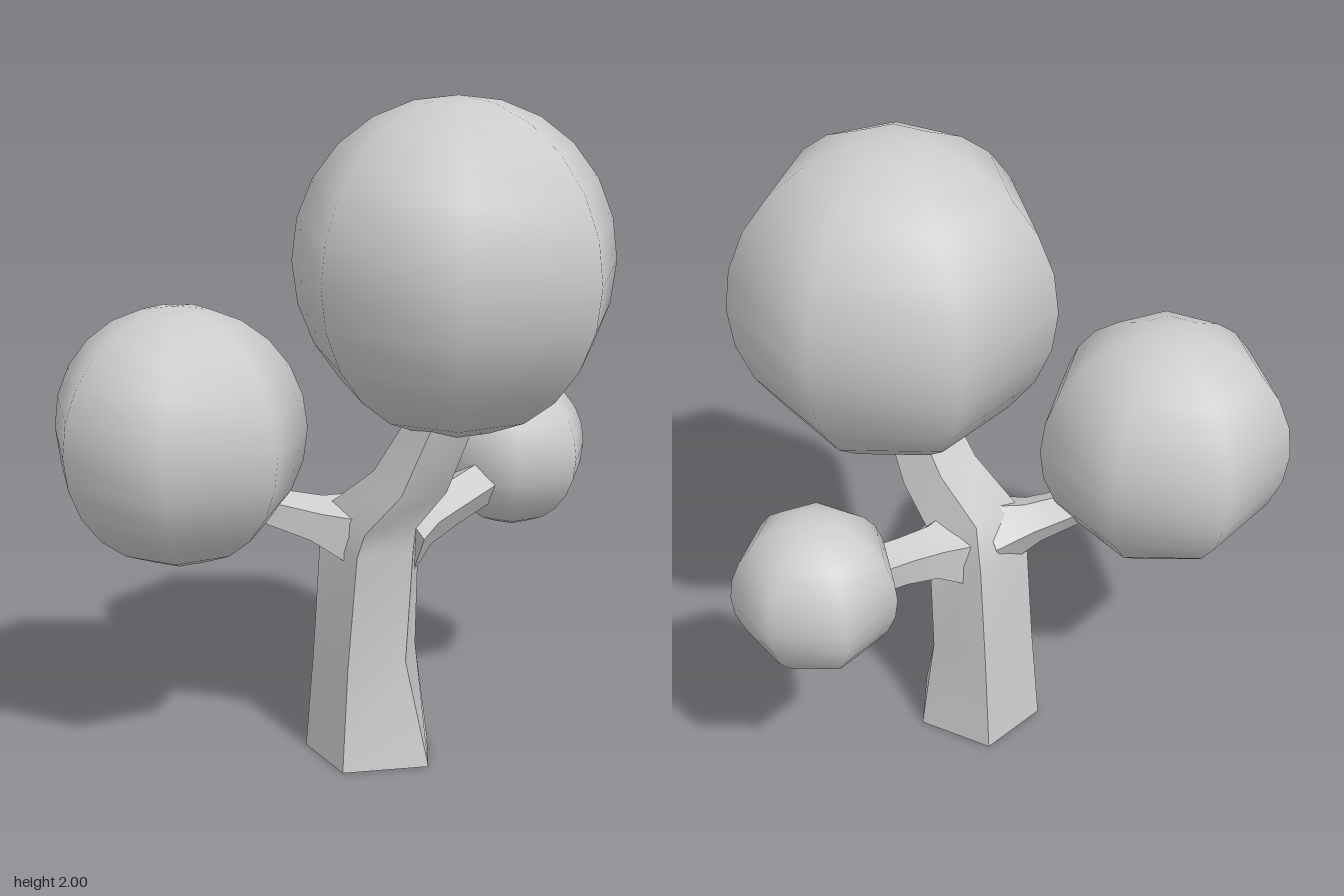
import * as THREE from 'three';
import { toCreasedNormals } from 'three/addons/utils/BufferGeometryUtils.js';

const material = new THREE.MeshStandardMaterial({ color: 0xcccccc });

// Skin a stack of equal-sized rings and close both ends.
function loft(rings) {
  const n = rings[0].length;
  const pos = rings.flat(2);
  const idx = [];
  for (let r = 0; r < rings.length - 1; r++) {
    for (let k = 0; k < n; k++) {
      const a = r * n + k, b = r * n + (k + 1) % n;
      idx.push(a, a + n, b, b, a + n, b + n);
    }
  }
  const top = (rings.length - 1) * n;
  for (let k = 1; k < n - 1; k++) {
    idx.push(0, k, k + 1, top, top + k + 1, top + k);
  }
  const geo = new THREE.BufferGeometry();
  geo.setAttribute('position', new THREE.Float32BufferAttribute(pos, 3));
  geo.setIndex(idx);
  return toCreasedNormals(geo, 0.7);
}

// Five-sided branch through points [x, y, z, radius].
function branchRings(points) {
  const dir = new THREE.Vector3(...points.at(-1).slice(0, 3))
    .sub(new THREE.Vector3(...points[0].slice(0, 3))).normalize();
  const q = new THREE.Quaternion().setFromUnitVectors(new THREE.Vector3(0, 1, 0), dir);
  return points.map(([x, y, z, r]) => Array.from({ length: 5 }, (_, k) => {
    const t = (k / 5) * Math.PI * 2 + 0.3;
    const v = new THREE.Vector3(Math.cos(t) * r, 0, Math.sin(t) * r).applyQuaternion(q);
    return [x + v.x, y + v.y, z + v.z];
  }));
}

export function createModel() {
  const group = new THREE.Group();
  const add = (name, geo) => {
    const mesh = new THREE.Mesh(geo, material);
    mesh.name = name;
    group.add(mesh);
    return mesh;
  };

  // Trunk: flared pentagonal foot, bending over into the main branch
  add('trunk', loft([
    [[0.245, 0, 0.04], [0.06, 0, 0.225], [-0.15, 0, 0.13], [-0.12, 0, -0.1], [0.12, 0, -0.14]],
    [[0.16, 0.32, 0.04], [0.055, 0.32, 0.19], [-0.118, 0.32, 0.13], [-0.09, 0.32, -0.08], [0.1, 0.32, -0.1]],
    [[0.185, 0.68, 0.04], [0.09, 0.68, 0.19], [-0.09, 0.68, 0.13], [-0.07, 0.68, -0.08], [0.11, 0.68, -0.1]],
    [[0.195, 0.75, 0.04], [0.11, 0.75, 0.18], [-0.06, 0.8, 0.13], [-0.03, 0.82, -0.05], [0.12, 0.76, -0.09]],
    [[0.3, 0.88, 0.04], [0.22, 0.88, 0.155], [0.1, 0.93, 0.12], [0.11, 0.94, -0.04], [0.23, 0.88, -0.07]],
    [[0.4, 1.12, 0.04], [0.32, 1.12, 0.13], [0.22, 1.12, 0.11], [0.22, 1.12, -0.03], [0.33, 1.12, -0.05]],
  ]));

  // Side branches, thick at the fork
  add('frontBranch', loft(branchRings([
    [0.0, 0.72, 0.08, 0.12], [-0.09, 0.755, 0.155, 0.075], [-0.18, 0.795, 0.24, 0.06], [-0.3, 0.88, 0.35, 0.055],
  ])));
  add('backBranch', loft(branchRings([
    [0.07, 0.69, -0.03, 0.13], [0.095, 0.715, -0.13, 0.085], [0.12, 0.74, -0.24, 0.075], [0.155, 0.79, -0.46, 0.075],
  ])));

  // Foliage balls: seven-sided in plan, rounder in elevation
  const balls = [
    ['largeFoliage', 0.275, 1.52, -0.035, 0.48],
    ['mediumFoliage', -0.375, 1.03, 0.425, 0.38],
    ['smallFoliage', 0.15, 0.845, -0.57, 0.243],
  ];
  for (const [name, x, y, z, r] of balls) {
    const geo = new THREE.SphereGeometry(r, 7, 12, THREE.MathUtils.degToRad(177));
    add(name, geo).position.set(x, y, z);
  }
  return group;
}
